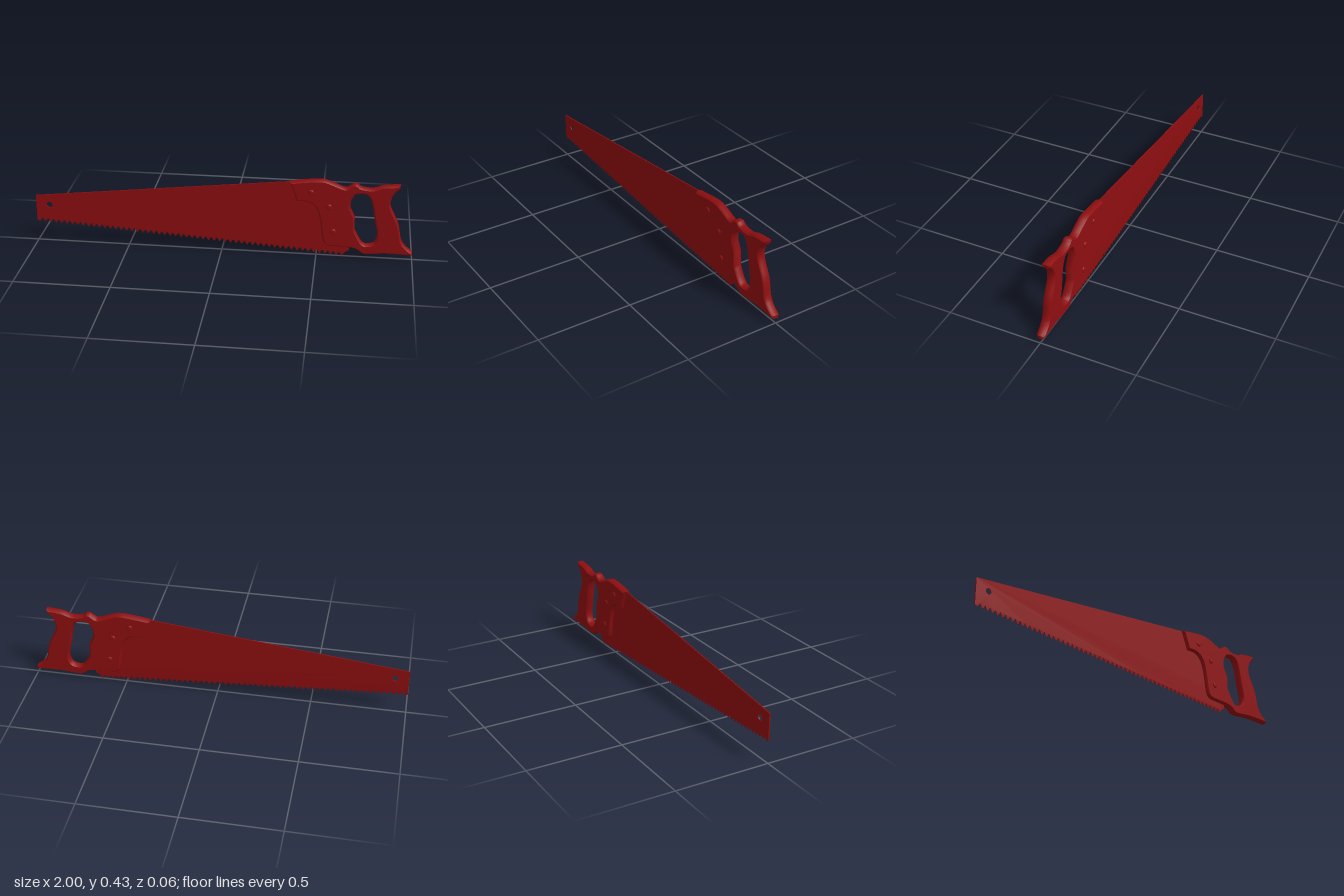
import * as THREE from 'three';
import { toCreasedNormals } from 'three/addons/utils/BufferGeometryUtils.js';

const red = new THREE.MeshStandardMaterial({ color: 0x8e0e10 });
const vecs = (list) => list.map(([x, y]) => new THREE.Vector2(x, y));

function addMesh(parent, name, geometry) {
  const mesh = new THREE.Mesh(geometry, red);
  mesh.name = name;
  parent.add(mesh);
  return mesh;
}

// Thin tapered plate with a toothed lower edge and a hanging hole
function bladeGeometry() {
  const teeth = 56, x0 = -1, x1 = 0.65, depth = 0.023, thickness = 0.006;
  const pitch = (x1 - x0) / teeth;
  const tipY = (x) => THREE.MathUtils.mapLinear(x, x0, x1 - pitch / 2, 0.11, 0);
  const shape = new THREE.Shape();
  shape.moveTo(x0, 0.26);
  shape.lineTo(x0, tipY(x0) + depth * 0.3);
  for (let i = 0; i < teeth; i++) {
    const x = x0 + (i + 0.5) * pitch;
    shape.lineTo(x, tipY(x));
    shape.lineTo(x + pitch / 2, tipY(x + pitch / 2) + depth);
  }
  shape.lineTo(0.672, 0.036);
  shape.lineTo(0.675, 0.07);
  shape.lineTo(0.62, 0.12);
  shape.lineTo(0.6, 0.38);
  shape.lineTo(0.45, 0.41);
  shape.lineTo(0.36, 0.411);
  const hole = new THREE.Path();
  hole.absarc(-0.928, 0.209, 0.016, 0, Math.PI * 2, true);
  shape.holes.push(hole);
  const geo = new THREE.ExtrudeGeometry(shape, { depth: thickness, bevelEnabled: false, curveSegments: 16 });
  geo.translate(0, 0, -thickness / 2);
  // sharpen the tooth tips to a fine edge
  const pos = geo.attributes.position;
  for (let i = 0; i < pos.count; i++) {
    if (pos.getY(i) < tipY(pos.getX(i)) + 0.002) pos.setZ(i, pos.getZ(i) * 0.15);
  }
  return toCreasedNormals(geo, 0.3);
}

// Chamfered grip plate with a finger opening
function handleGeometry() {
  const s = new THREE.Shape();
  s.moveTo(0.355, 0.41);
  // top edge with the small thumb bump and the upper horn
  s.splineThru(vecs([[0.44, 0.423], [0.52, 0.429], [0.575, 0.414], [0.635, 0.391], [0.66, 0.398],
    [0.68, 0.413], [0.702, 0.413], [0.722, 0.398], [0.78, 0.393], [0.837, 0.411], [0.918, 0.419]]));
  // rear edge that fits the palm
  s.lineTo(0.915, 0.4);
  s.splineThru(vecs([[0.882, 0.36], [0.874, 0.3], [0.918, 0.203], [0.938, 0.112], [0.965, 0.072], [1, 0.045]]));
  s.lineTo(1, 0.028);
  // bottom edge
  s.splineThru(vecs([[0.865, 0.031], [0.755, 0.022], [0.714, 0.045], [0.675, 0.056], [0.57, 0.061]]));
  // front edge against the blade
  s.splineThru(vecs([[0.535, 0.087], [0.515, 0.208], [0.49, 0.278], [0.445, 0.306], [0.393, 0.306]]));

  // opening: rounded ends, angular finger side, wound against the outline
  const opening = new THREE.Path();
  opening.moveTo(0.692, 0.358);
  opening.splineThru(vecs([[0.672, 0.325], [0.667, 0.283]]));
  opening.lineTo(0.694, 0.228);
  opening.lineTo(0.695, 0.155);
  opening.splineThru(vecs([[0.735, 0.087], [0.768, 0.076], [0.802, 0.091], [0.814, 0.138],
    [0.798, 0.218], [0.78, 0.312], [0.757, 0.356], [0.722, 0.364], [0.692, 0.358]]));
  s.holes.push(opening);

  const geo = new THREE.ExtrudeGeometry(s, {
    depth: 0.024, bevelThickness: 0.01, bevelSize: 0.008, bevelOffset: -0.008, bevelSegments: 1, curveSegments: 4,
  });
  return toCreasedNormals(geo.translate(0, 0, -0.012), 0.8);
}

// Through bolt with a domed head on each side
function boltGeometry() {
  const profile = vecs([[0, -0.029], [0.009, -0.0285], [0.0135, -0.026], [0.016, -0.021],
    [0.016, 0.021], [0.0135, 0.026], [0.009, 0.0285], [0, 0.029]]);
  return toCreasedNormals(new THREE.LatheGeometry(profile, 20).rotateX(Math.PI / 2), 0.7);
}

export function createModel() {
  const saw = new THREE.Group();
  saw.name = 'handSaw';
  addMesh(saw, 'blade', bladeGeometry());
  addMesh(saw, 'handle', handleGeometry());
  const bolt = boltGeometry();
  [[0.465, 0.361], [0.56, 0.285], [0.585, 0.146]].forEach(([x, y], i) => {
    addMesh(saw, `bolt${i + 1}`, bolt).position.set(x, y, 0);
  });
  return saw;
}
